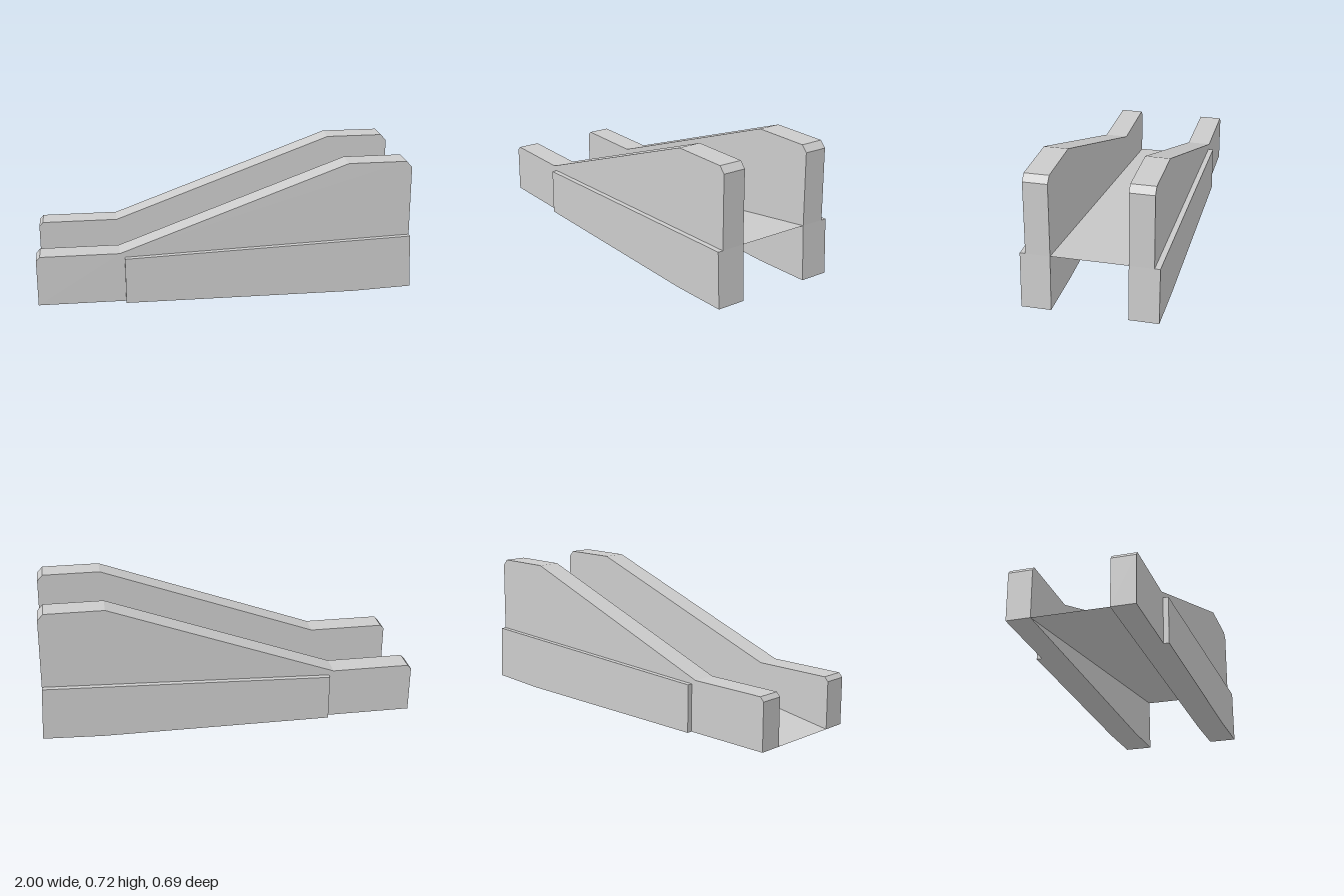
import * as THREE from 'three';

const grey = new THREE.MeshStandardMaterial({ color: 0xcccccc, flatShading: true });
const greyThin = new THREE.MeshStandardMaterial({ color: 0xcccccc, flatShading: true, side: THREE.DoubleSide });

const INNER = 0.193, OUTER = 0.317, RAIL = 0.345;

// Side profiles in x, y, counter-clockwise
const WALL = [[-1, 0], [0.68, 0], [1, 0.013], [0.985, 0.305], [0.98, 0.684], [0.95, 0.717],
  [0.64, 0.717], [-0.565, 0.272], [-0.98, 0.272], [-1, 0.25]];
const PLATE = [[-0.54, 0], [0.68, 0], [1, 0.013], [0.985, 0.305], [-0.54, 0.25]];

// Extrude a side profile between two z values
function slab(name, profile, z0, z1) {
  const shape = new THREE.Shape(profile.map(([x, y]) => new THREE.Vector2(x, y)));
  const geometry = new THREE.ExtrudeGeometry(shape, { depth: z1 - z0, bevelEnabled: false });
  geometry.translate(0, 0, z0);
  const mesh = new THREE.Mesh(geometry, grey);
  mesh.name = name;
  return mesh;
}

export function createModel() {
  const model = new THREE.Group();
  model.name = 'walledRamp';

  // Side walls with their outer lower plates
  model.add(
    slab('frontWall', WALL, INNER, OUTER),
    slab('backWall', WALL, -OUTER, -INNER),
    slab('frontPlate', PLATE, OUTER, RAIL),
    slab('backPlate', PLATE, -RAIL, -OUTER),
  );

  // Thin sloping deck between the walls
  const start = new THREE.Vector2(-1, 0), end = new THREE.Vector2(0.985, 0.305);
  const deck = new THREE.PlaneGeometry(start.distanceTo(end), 2 * INNER);
  deck.rotateX(-Math.PI / 2);
  deck.rotateZ(Math.atan2(end.y - start.y, end.x - start.x));
  deck.translate((start.x + end.x) / 2, (start.y + end.y) / 2, 0);
  const ramp = new THREE.Mesh(deck, greyThin);
  ramp.name = 'rampDeck';
  model.add(ramp);

  return model;
}
